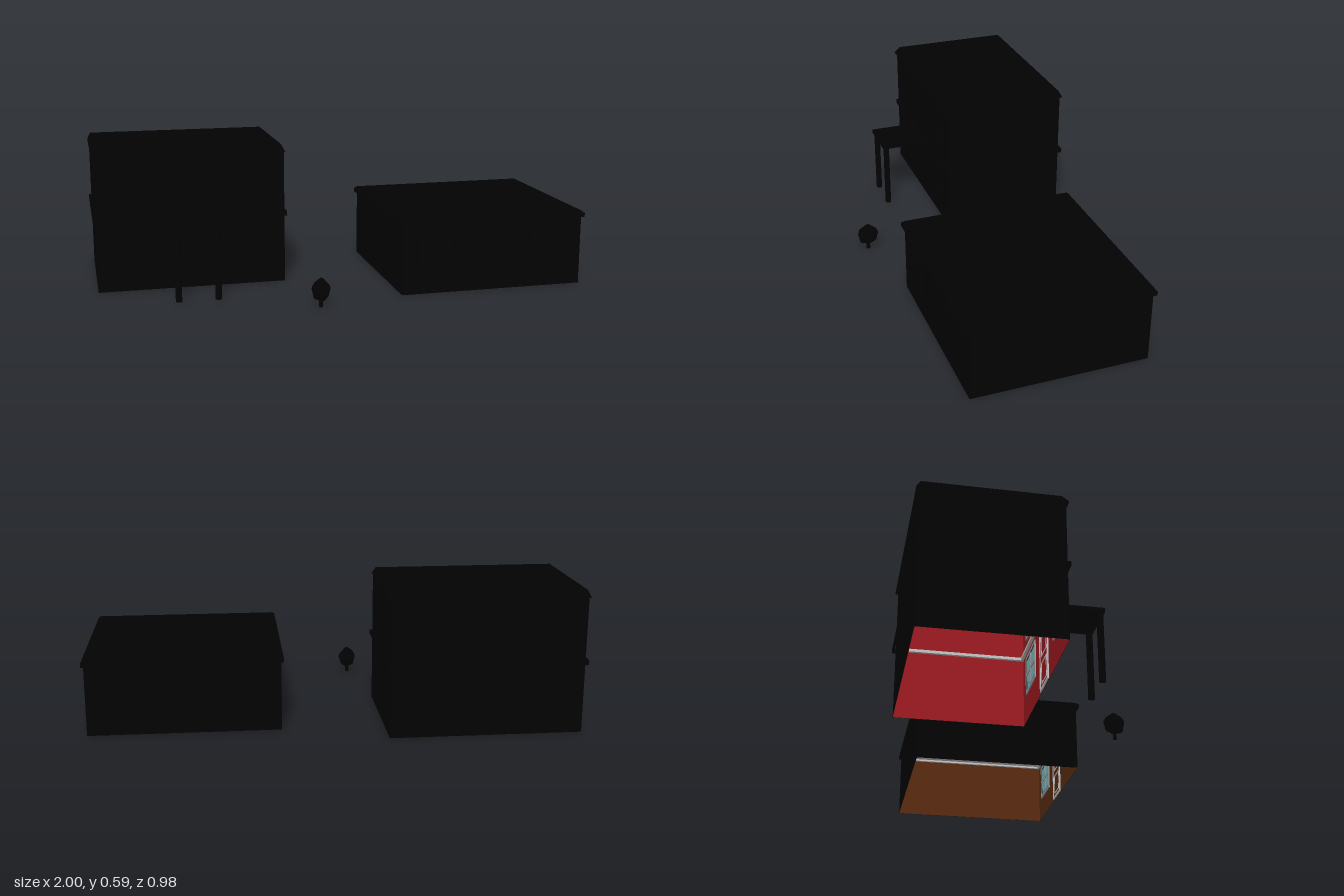
import * as THREE from 'three';

const mat = (color, side = THREE.FrontSide) => new THREE.MeshStandardMaterial({ color, side });
const DARK = mat(0x020202);
const DARK_SHEET = mat(0x020202, THREE.DoubleSide);
const GREY = mat(0xcccccc);
const GREY_SHEET = mat(0xcccccc, THREE.DoubleSide);
const FRAME = mat(0x9fa6a6);
const GLASS = mat(0x78c0ca);
const LINE = mat(0x3a2a20);

function add(parent, name, geo, material) {
  const m = new THREE.Mesh(geo, material);
  m.name = name;
  parent.add(m);
  return m;
}

// Box given by its limits; the top can be drawn in: [left, right, back, front]
function slab(x0, x1, y0, y1, z0, z1, inset = [0, 0, 0, 0]) {
  const g = new THREE.BoxGeometry(x1 - x0, y1 - y0, z1 - z0);
  const p = g.attributes.position;
  for (let i = 0; i < p.count; i++) {
    if (p.getY(i) < 0) continue;
    p.setX(i, p.getX(i) + (p.getX(i) < 0 ? inset[0] : -inset[1]));
    p.setZ(i, p.getZ(i) + (p.getZ(i) < 0 ? inset[2] : -inset[3]));
  }
  g.translate((x0 + x1) / 2, (y0 + y1) / 2, (z0 + z1) / 2);
  g.computeVertexNormals();
  return g;
}

// Four upright sheets without floor or top
function sheets(x0, x1, h, z0, z1) {
  const g = slab(x0, x1, 0, h, z0, z1);
  const idx = Array.from(g.index.array);
  g.setIndex([...idx.slice(0, 12), ...idx.slice(24)]);
  g.clearGroups();
  return g;
}

// Walls, dark outside with a coloured lining, and the ceiling
function walls(parent, x0, x1, h, z0, z1, color) {
  const t = 0.001;
  add(parent, 'outerWalls', sheets(x0, x1, h, z0, z1), DARK_SHEET);
  add(parent, 'innerWalls', sheets(x0 + t, x1 - t, h, z0 + t, z1 - t), mat(color, THREE.DoubleSide));
  const c = add(parent, 'ceiling', new THREE.PlaneGeometry(x1 - x0, z1 - z0).rotateX(Math.PI / 2), GREY_SHEET);
  c.position.set((x0 + x1) / 2, h - 0.002, (z0 + z1) / 2);
}

// Flat rectangular ring of width w lying at height y
function ring(parent, name, x0, x1, z0, z1, w, y, depth, material) {
  const rect = (C, d) => new C([[x0 + d, -z1 + d], [x1 - d, -z1 + d], [x1 - d, -z0 - d], [x0 + d, -z0 - d]]
    .map(([a, b]) => new THREE.Vector2(a, b)));
  const s = rect(THREE.Shape, 0);
  s.holes.push(rect(THREE.Path, w));
  const g = new THREE.ExtrudeGeometry(s, { depth, bevelEnabled: false }).rotateX(-Math.PI / 2);
  add(parent, name, g, material).position.y = y;
}

// A strip on both faces of the front wall: dark outside, its own colour inside
function strip(parent, name, x0, x1, y0, y1, out, inner, material) {
  add(parent, name + 'Outside', slab(x0, x1, y0, y1, 0, out), DARK);
  add(parent, name + 'Inside', slab(x0, x1, y0, y1, -inner, 0), material);
}

// Rectangular frame made of four strips
function frame(parent, name, x0, x1, y0, y1, t, out, inner, material) {
  strip(parent, name, x0, x0 + t, y0, y1, out, inner, material);
  strip(parent, name, x1 - t, x1, y0, y1, out, inner, material);
  strip(parent, name, x0 + t, x1 - t, y0, y0 + t, out, inner, material);
  strip(parent, name, x0 + t, x1 - t, y1 - t, y1, out, inner, material);
}

// Four-pane window, origin at its centre on the wall
function makeWindow(parent, x, y, z) {
  const g = new THREE.Group();
  g.name = 'window';
  const w = 0.088, h = 0.08;
  strip(g, 'glass', -w, w, -h, h, 0.002, 0.003, GLASS);
  frame(g, 'windowFrame', -w, w, -h, h, 0.012, 0.013, 0.006, FRAME);
  frame(g, 'windowSeam', -w + 0.012, w - 0.012, -h + 0.012, h - 0.012, 0.004, 0.008, 0.005, LINE);
  strip(g, 'mullion', -0.005, 0.005, -h + 0.016, h - 0.016, 0.009, 0.006, FRAME);
  strip(g, 'crossbar', -w + 0.016, w - 0.016, -0.005, 0.005, 0.009, 0.006, FRAME);
  g.position.set(x, y, z);
  parent.add(g);
}

// Panelled door, nearly flush with the wall
function makeDoor(parent, x, z, color) {
  const g = new THREE.Group();
  g.name = 'door';
  strip(g, 'doorLeaf', -0.058, 0.058, 0.004, 0.25, 0.0005, 0.003, mat(color));
  frame(g, 'doorFrame', -0.068, 0.068, 0.004, 0.258, 0.01, 0.0015, 0.006, GREY);
  for (const y of [0.025, 0.14])
    frame(g, 'doorPanel', -0.042, 0.042, y, y + 0.09, 0.006, 0.001, 0.005, GREY);
  g.position.set(x, 0, z);
  parent.add(g);
}

// Tall house with a storey band and a porch
function tallHouse() {
  const g = new THREE.Group();
  g.name = 'tallHouse';
  const red = 0xa01a22;
  walls(g, -0.99, -0.21, 0.557, -0.478, 0.052, red);
  add(g, 'roof', slab(-0.996, -0.206, 0.557, 0.586, -0.49, 0.063, [0.013, 0.013, 0.015, 0.023]), DARK);
  ring(g, 'storeyBand', -1, -0.2, -0.492, 0.062, 0.009, 0.286, 0.018, DARK);
  ring(g, 'innerLedge', -0.988, -0.212, -0.476, 0.05, 0.012, 0.289, 0.012, GREY);

  for (const x of [-0.85, -0.365])
    for (const y of [0.19, 0.432]) makeWindow(g, x, y, 0.052);
  makeDoor(g, -0.602, 0.052, red);

  // Porch
  add(g, 'porchRoof', slab(-0.697, -0.506, 0.284, 0.302, 0.052, 0.267), DARK);
  for (const x of [-0.682, -0.522]) {
    const post = add(g, 'porchPost', new THREE.CylinderGeometry(0.013, 0.013, 0.285, 16), DARK);
    post.position.set(x, 0.1425, 0.25);
  }
  return g;
}

// Single-storey house
function lowHouse() {
  const g = new THREE.Group();
  g.name = 'lowHouse';
  const brown = 0x5c2c12;
  walls(g, 0.21, 0.99, 0.288, -0.335, 0.378, brown);
  ring(g, 'ceilingTrim', 0.212, 0.988, -0.333, 0.376, 0.012, 0.277, 0.008, GREY);
  add(g, 'roofEdge', slab(0.2, 1, 0.287, 0.303, -0.346, 0.39), DARK);
  add(g, 'roofTop', slab(0.2, 1, 0.303, 0.313, -0.346, 0.39, [0.01, 0.01, 0.01, 0.01]), DARK);
  for (const x of [0.357, 0.843]) makeWindow(g, x, 0.18, 0.378);
  makeDoor(g, 0.6, 0.378, brown);
  return g;
}

// Small tree with a lumpy crown
function tree() {
  const g = new THREE.Group();
  g.name = 'tree';
  add(g, 'trunk', new THREE.CylinderGeometry(0.007, 0.0085, 0.05, 12), DARK).position.y = 0.025;
  const crown = new THREE.SphereGeometry(1, 32, 20);
  const p = crown.attributes.position;
  const v = new THREE.Vector3();
  for (let i = 0; i < p.count; i++) {
    v.fromBufferAttribute(p, i);
    const bump = Math.sin(7 * v.x + 1) + Math.sin(7 * v.y + 0.5) + Math.sin(8 * v.z + 2);
    v.multiplyScalar(1 + 0.05 * bump);
    p.setXYZ(i, v.x * 0.034, v.y * 0.043, v.z * 0.041);
  }
  crown.computeVertexNormals();
  add(g, 'crown', crown, DARK).position.y = 0.069;
  g.position.set(-0.145, 0, 0.448);
  return g;
}

export function createModel() {
  const model = new THREE.Group();
  model.name = 'twoHousesAndTree';
  model.add(tallHouse(), lowHouse(), tree());
  return model;
}
